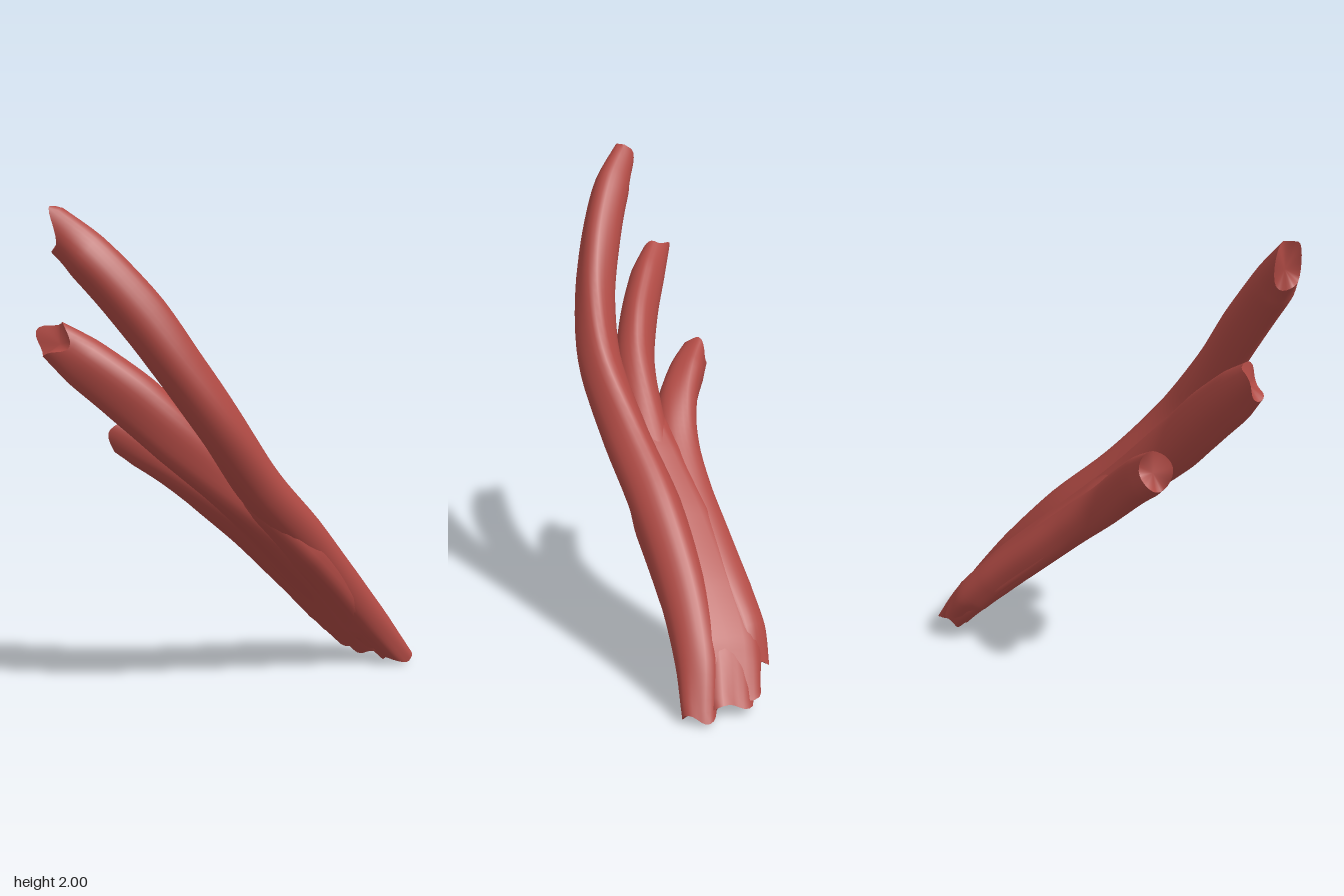
import * as THREE from 'three';

const SIDES = 28, STEPS = 48;

// Each row: x, y, z, half-width across the sheet, half-thickness. Top to bottom.
// slant and tilt angle the upper cut; power below 1 squares the section.
const strands = {
  frontStrand: {
    phase: 0.4, slant: -0.1, tilt: 0.9, power: 1, rows: [
      [-0.74, 1.915, 0.40, 0.055, 0.075], [-0.62, 1.81, 0.42, 0.082, 0.092],
      [-0.43, 1.60, 0.42, 0.085, 0.1], [-0.27, 1.38, 0.40, 0.085, 0.095],
      [-0.11, 1.15, 0.335, 0.09, 0.095], [0.06, 0.89, 0.18, 0.1, 0.1],
      [0.26, 0.65, -0.005, 0.11, 0.1], [0.46, 0.39, -0.16, 0.105, 0.095],
      [0.62, 0.19, -0.25, 0.095, 0.08], [0.755, 0.02, -0.29, 0.075, 0.055]],
  },
  middleStrand: {
    phase: 2.1, slant: 0.9, tilt: 0, power: 1, rows: [
      [-0.76, 1.50, 0.255, 0.058, 0.075], [-0.64, 1.41, 0.257, 0.073, 0.1],
      [-0.45, 1.26, 0.25, 0.078, 0.112], [-0.28, 1.10, 0.225, 0.085, 0.11],
      [-0.10, 0.92, 0.15, 0.095, 0.1], [0.05, 0.765, 0.065, 0.11, 0.095],
      [0.22, 0.57, -0.07, 0.125, 0.09], [0.40, 0.365, -0.225, 0.125, 0.09],
      [0.55, 0.18, -0.335, 0.11, 0.085], [0.67, 0.04, -0.38, 0.1, 0.07]],
  },
  rearStrand: {
    phase: 4.0, slant: -0.3, tilt: 0.2, power: 1, rows: [
      [-0.505, 1.10, 0.0, 0.06, 0.08], [-0.40, 1.04, 0.015, 0.078, 0.09],
      [-0.25, 0.94, 0.025, 0.088, 0.09], [-0.10, 0.815, 0.0, 0.098, 0.088],
      [0.05, 0.675, -0.08, 0.1, 0.085], [0.20, 0.515, -0.195, 0.1, 0.085],
      [0.35, 0.35, -0.315, 0.1, 0.085], [0.44, 0.235, -0.395, 0.09, 0.08],
      [0.51, 0.13, -0.44, 0.07, 0.06]],
  },
  // Broad sheet that joins the strands below the fork
  commonBelly: {
    phase: 1.2, slant: 0, tilt: 0, power: 0.6, rows: [
      [-0.13, 0.98, 0.17, 0.05, 0.06], [0.04, 0.79, 0.07, 0.14, 0.08],
      [0.22, 0.58, -0.075, 0.185, 0.086], [0.41, 0.365, -0.225, 0.185, 0.086],
      [0.54, 0.2, -0.325, 0.17, 0.082], [0.65, 0.06, -0.37, 0.145, 0.062]],
  },
};

const bend = (v, power) => Math.sign(v) * Math.abs(v) ** power;

// Loft of fluted elliptical rings along a curved centre line, with ragged ends
function strandGeometry({ rows, phase, slant, tilt, power }) {
  const curve = new THREE.CatmullRomCurve3(rows.map(r => new THREE.Vector3(r[0], r[1], r[2])));
  const pos = [], index = [], ends = [];
  const size = (t, k) => {
    const f = t * (rows.length - 1), i = Math.min(Math.floor(f), rows.length - 2);
    return THREE.MathUtils.lerp(rows[i][k], rows[i + 1][k], f - i);
  };

  for (let i = 0; i <= STEPS; i++) {
    const t = i / STEPS, c = curve.getPoint(t), T = curve.getTangent(t);
    // The sheet direction turns from straight forward to forward, up and left
    const blend = THREE.MathUtils.smoothstep(c.x, -0.5, 0.1);
    const W = new THREE.Vector3(0.4 * blend, 0.3 * blend, 1 - 0.15 * blend);
    W.addScaledVector(T, -W.dot(T)).normalize();
    const N = new THREE.Vector3().crossVectors(T, W);
    const top = Math.max(0, 1 - t / 0.12), low = Math.max(0, (t - 0.85) / 0.15);
    for (let j = 0; j < SIDES; j++) {
      const a = j / SIDES * Math.PI * 2;
      const flute = 1 + (0.03 + 0.06 * low) * Math.sin(4 * a + phase + t * 3)
        + 0.03 * Math.sin(3 * a - phase);
      const d = new THREE.Vector3()
        .addScaledVector(W, bend(Math.cos(a), power) * size(t, 3) * flute)
        .addScaledVector(N, bend(Math.sin(a), power) * size(t, 4) * flute);
      // Upper end cut on a slant, lower end cut nearly level
      const ragged = 0.018 * Math.sin(3 * a + phase);
      const slide = top * (slant * d.dot(W) + tilt * d.dot(N) + ragged)
        + low * (ragged - 0.75 * d.y / T.y);
      const p = c.clone().add(d).addScaledVector(T, slide);
      pos.push(p.x, Math.min(2, Math.max(0, p.y)), p.z);
    }
    if (i === 0) ends.push(c.clone().addScaledVector(T, 0.035));
    if (i === STEPS) ends.push(c.clone().addScaledVector(T, -0.025));
  }

  for (let i = 0; i < STEPS; i++) for (let j = 0; j < SIDES; j++) {
    const k = (j + 1) % SIDES, a = i * SIDES + j, b = i * SIDES + k;
    index.push(a, b, a + SIDES, b, b + SIDES, a + SIDES);
  }

  // Hollowed end faces with their own rim so the edge stays sharp
  ends.forEach((centre, e) => {
    const source = e ? STEPS * SIDES : 0, start = pos.length / 3;
    for (let j = 0; j < SIDES * 3; j++) pos.push(pos[source * 3 + j]);
    pos.push(centre.x, centre.y, centre.z);
    for (let j = 0; j < SIDES; j++) {
      const a = start + j, b = start + (j + 1) % SIDES;
      index.push(start + SIDES, e ? a : b, e ? b : a);
    }
  });

  const g = new THREE.BufferGeometry();
  g.setAttribute('position', new THREE.Float32BufferAttribute(pos, 3));
  g.setIndex(index);
  g.computeVertexNormals();
  return g;
}

export function createModel() {
  const group = new THREE.Group();
  group.name = 'threeStrandMuscle';
  const muscleRed = new THREE.MeshStandardMaterial({ color: 0xb04a44 });
  muscleRed.name = 'muscleRed';
  for (const [name, strand] of Object.entries(strands)) {
    const mesh = new THREE.Mesh(strandGeometry(strand), muscleRed);
    mesh.name = name;
    group.add(mesh);
  }
  return group;
}
